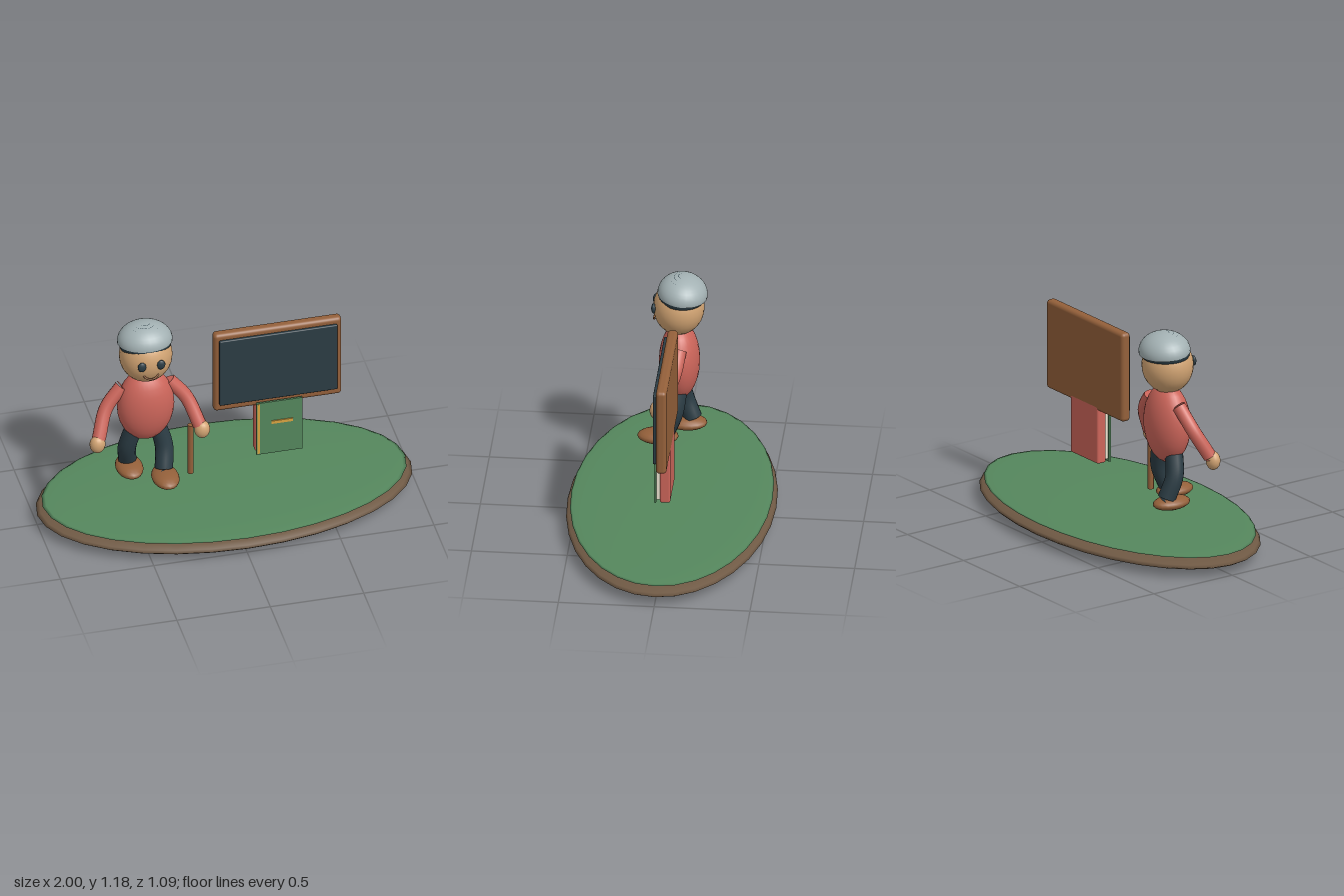
import * as THREE from 'three';
import { RoundedBoxGeometry } from 'three/addons/geometries/RoundedBoxGeometry.js';

const paint = (color, side = THREE.FrontSide) => new THREE.MeshStandardMaterial({ color, side });
const WOOD = 0x94603a, SKIN = 0xd2a473, RED = 0xcc655a, DARK = 0x2b3c44;
const GREEN = 0x55875d, GOLD = 0xd9a441, EARTH = 0x6f5944, GREY = 0xa3b1b3, PAPER = 0xeee6d2;

function add(parent, name, geometry, color, [x, y, z], side) {
  const mesh = new THREE.Mesh(geometry, paint(color, side));
  mesh.name = name;
  mesh.position.set(x, y, z);
  parent.add(mesh);
  return mesh;
}

function ellipsoid(parent, name, color, centre, radii, segments = 24) {
  const geometry = new THREE.SphereGeometry(1, segments, segments / 2).scale(...radii);
  return add(parent, name, geometry, color, centre);
}

// Box given by its min and max corners, with optional rounding
function box(parent, name, color, min, max, radius = 0) {
  const size = max.map((v, i) => v - min[i]);
  const centre = max.map((v, i) => (v + min[i]) / 2);
  const geometry = radius
    ? new RoundedBoxGeometry(...size, 3, radius)
    : new THREE.BoxGeometry(...size);
  return add(parent, name, geometry, color, centre);
}

// Bent tube with flat closed ends
function limb(parent, name, color, points, radius) {
  const group = new THREE.Group();
  group.name = name;
  parent.add(group);
  const curve = new THREE.CatmullRomCurve3(points.map(p => new THREE.Vector3(...p)));
  add(group, name + 'Tube', new THREE.TubeGeometry(curve, 16, radius, 14), color, [0, 0, 0]);
  for (const t of [0, 1]) {
    const end = curve.getPoint(t);
    const cap = add(group, name + 'End', new THREE.CircleGeometry(radius, 14), color, end.toArray(), THREE.DoubleSide);
    cap.lookAt(end.clone().addScaledVector(curve.getTangent(t), t ? 1 : -1));
  }
}

function buildFigure() {
  const figure = new THREE.Group();
  figure.name = 'figure';
  figure.position.x = -0.42;

  ellipsoid(figure, 'body', RED, [0, 0.677, 0], [0.152, 0.215, 0.107], 28);
  ellipsoid(figure, 'head', SKIN, [0, 0.995, 0.003], [0.14, 0.15, 0.134], 28);

  // Hair band with a dome cap, both tipped slightly backwards
  const hairGeo = new THREE.SphereGeometry(1, 28, 10, 0, Math.PI * 2, 0, Math.PI * 0.6).scale(0.142, 0.1, 0.126);
  add(figure, 'hair', hairGeo, DARK, [0, 1.078, -0.012], THREE.DoubleSide).rotation.x = -0.06;
  const capGeo = new THREE.SphereGeometry(1, 28, 10, 0, Math.PI * 2, 0, Math.PI * 0.52).scale(0.146, 0.103, 0.131);
  add(figure, 'cap', capGeo, GREY, [0, 1.075, -0.016], THREE.DoubleSide).rotation.x = -0.11;

  // Smile
  const smileArc = Math.PI * 0.68;
  const smileGeo = new THREE.TorusGeometry(0.045, 0.005, 8, 16, smileArc)
    .rotateZ(-Math.PI / 2 - smileArc / 2);
  const smile = add(figure, 'mouth', smileGeo, WOOD, [0, 0.962, 0.111]);
  smile.rotation.x = -0.5;

  for (const s of [-1, 1]) {
    const side = s > 0 ? 'left' : 'right';
    ellipsoid(figure, side + 'Eye', DARK, [s * 0.051, 1.005, 0.13], [0.023, 0.028, 0.013], 16);
    limb(figure, side + 'Arm', RED,
      [[s * 0.125, 0.8, -0.012], [s * 0.215, 0.69, 0.012], [s * 0.27, 0.55, 0.08]], 0.037);
    ellipsoid(figure, side + 'Hand', SKIN, [s * 0.28, 0.528, 0.093], [0.042, 0.051, 0.037], 18);

    // Striding legs: the left foot is forward
    limb(figure, side + 'Leg', DARK,
      [[s * 0.06, 0.54, 0], [s * 0.093, 0.41, s * 0.02], [s * 0.083, 0.295, s * 0.062]], 0.048);
    ellipsoid(figure, side + 'Shoe', WOOD,
      [s * 0.08, 0.265, s > 0 ? 0.105 : -0.03], [0.072, 0.036, 0.108], 20);
  }

  add(figure, 'cane', new THREE.CylinderGeometry(0.016, 0.016, 0.305, 12), WOOD, [0.227, 0.388, 0.058]);
  return figure;
}

function buildBoard() {
  const board = new THREE.Group();
  board.name = 'board';
  box(board, 'boardFrame', WOOD, [-0.06, 0.575, -0.028], [0.625, 1.062, 0.028], 0.02);
  box(board, 'boardPanel', DARK, [-0.033, 0.62, 0.025], [0.598, 1.03, 0.044], 0.006);
  return board;
}

function buildBook() {
  const book = new THREE.Group();
  book.name = 'book';
  box(book, 'backCover', RED, [0.16, 0.284, -0.028], [0.405, 0.606, 0.027], 0.01);
  box(book, 'pages', PAPER, [0.172, 0.298, 0.02], [0.395, 0.592, 0.046]);
  box(book, 'frontCover', GREEN, [0.16, 0.284, 0.045], [0.405, 0.61, 0.056]);
  box(book, 'spineStripe', GOLD, [0.166, 0.29, 0.046], [0.178, 0.604, 0.0575]);
  box(book, 'label', GOLD, [0.24, 0.472, 0.05], [0.355, 0.49, 0.062]);
  return book;
}

export function createModel() {
  const model = new THREE.Group();
  model.name = 'scene';

  // Oval ground: an earth disc with a thin layer of grass
  ellipsoid(model, 'earth', EARTH, [0, 0.058, 0], [1, 0.058, 0.545], 32);
  ellipsoid(model, 'grass', GREEN, [0, 0.106, 0], [0.97, 0.016, 0.525], 32);

  model.add(buildFigure(), buildBoard(), buildBook());
  return model;
}
